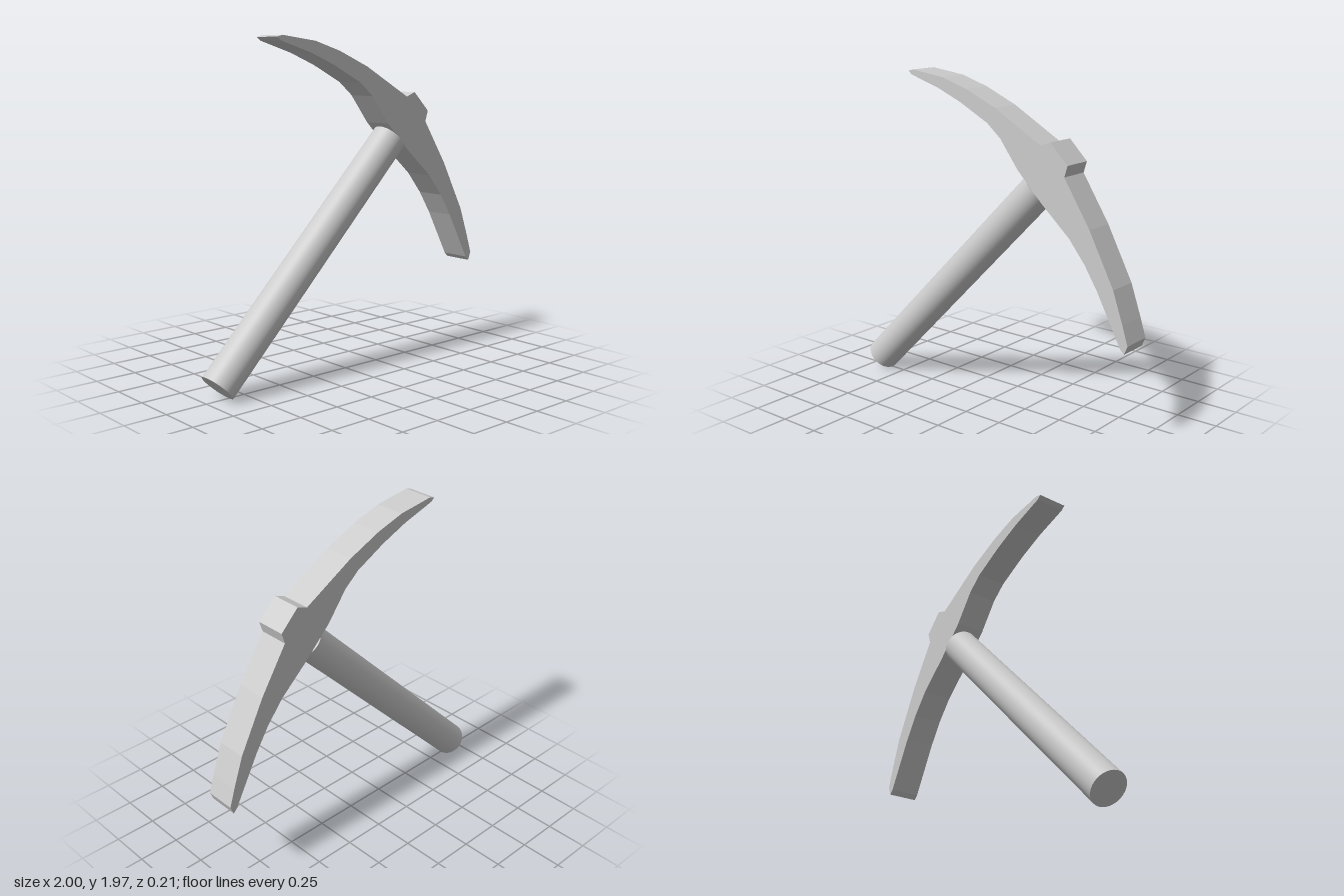
import * as THREE from 'three';

export function createModel() {
  const group = new THREE.Group();
  const material = new THREE.MeshStandardMaterial({ color: 0xcccccc });

  // Round handle running diagonally from the butt up to the underside of the head
  const butt = new THREE.Vector3(-0.925, 0.077, 0);
  const top = new THREE.Vector3(0.35, 1.37, 0);
  const axis = top.clone().sub(butt);
  const handle = new THREE.Mesh(new THREE.CylinderGeometry(0.104, 0.104, axis.length(), 48), material);
  handle.name = 'handle';
  handle.position.copy(butt).add(top).multiplyScalar(0.5);
  handle.quaternion.setFromUnitVectors(new THREE.Vector3(0, 1, 0), axis.normalize());
  group.add(handle);

  // Flat curved head: outline of both blades and the raised block over the handle
  const outline = [
    [-0.565, 1.965], [-0.54, 1.945], [-0.33, 1.88], [-0.16, 1.81], [0.035, 1.71],
    [0.13, 1.63], [0.255, 1.465], [0.42, 1.3], [0.61, 1.13], [0.715, 1.0],
    [0.8, 0.865], [0.955, 0.575], [0.98, 0.55], [1.0, 0.6], [0.965, 0.71],
    [0.9, 0.895], [0.74, 1.2], [0.57, 1.465], [0.59, 1.53], [0.475, 1.645],
    [0.41, 1.62], [0.09, 1.8], [-0.12, 1.89], [-0.3, 1.945], [-0.53, 1.975],
  ].map(([x, y]) => new THREE.Vector2(x, y));
  const thickness = 0.184;
  const headGeometry = new THREE.ExtrudeGeometry(new THREE.Shape(outline), { depth: thickness, bevelEnabled: false });
  headGeometry.translate(0, 0, -thickness / 2);
  const head = new THREE.Mesh(headGeometry, material);
  head.name = 'pickHead';
  group.add(head);

  return group;
}
